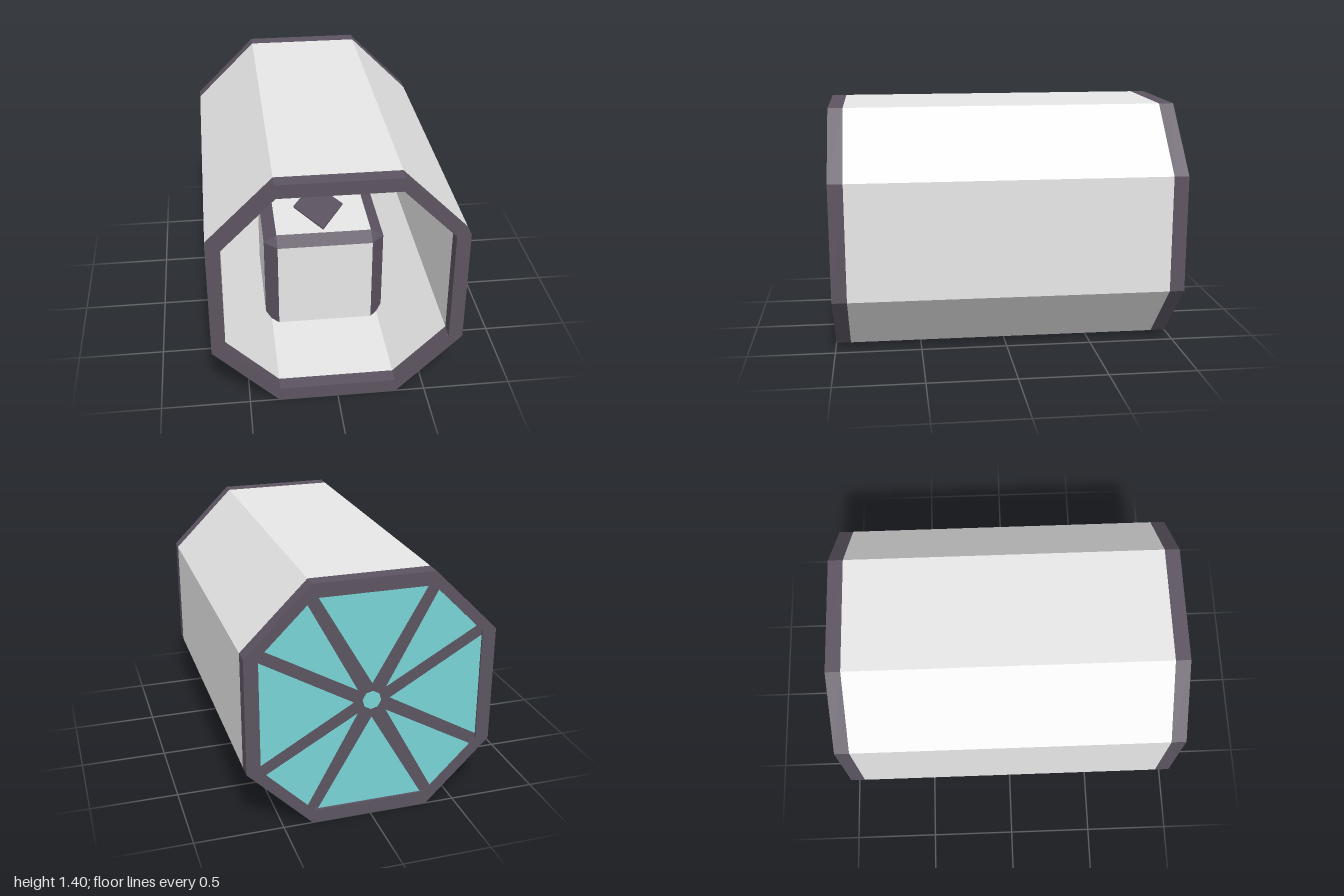
import * as THREE from 'three';

const shellGray = new THREE.MeshStandardMaterial({ color: 0xe7e7e7 });
shellGray.name = 'shellGray';
const frameDark = new THREE.MeshStandardMaterial({ color: 0x5c5461 });
frameDark.name = 'frameDark';
const windowTeal = new THREE.MeshStandardMaterial({ color: 0x79d3d7 });
windowTeal.name = 'windowTeal';

const CY = 0.7; // height of the tube axis

// Counter-clockwise octagon around the axis: half size h, half length of the flat sides f
const octagon = (h, f) => [[h, -f], [h, f], [f, h], [-f, h], [-h, f], [-h, -f], [-f, -h], [f, -h]]
  .map(([x, y]) => new THREE.Vector2(x, y + CY));
const OUTER = octagon(0.7, 0.335);
const INNER = octagon(0.622, 0.328);

function plate(name, outline, holes, z0, z1, material) {
  const shape = new THREE.Shape(outline);
  shape.holes = holes.map((h) => new THREE.Path(h));
  const geo = new THREE.ExtrudeGeometry(shape, { depth: z1 - z0, bevelEnabled: false });
  geo.translate(0, 0, z0);
  const mesh = new THREE.Mesh(geo, material);
  mesh.name = name;
  return mesh;
}

// Flat polygons turned to face away from a centre point
function facets(name, polygons, centre, material) {
  const pos = [];
  for (const poly of polygons) {
    const p = poly.map((c) => new THREE.Vector3(...c));
    const n = p[1].clone().sub(p[0]).cross(p[2].clone().sub(p[0]));
    if (n.dot(p[0].clone().sub(centre)) < 0) p.reverse();
    for (let i = 1; i < p.length - 1; i++) {
      for (const v of [p[0], p[i], p[i + 1]]) pos.push(v.x, v.y, v.z);
    }
  }
  const geo = new THREE.BufferGeometry();
  geo.setAttribute('position', new THREE.Float32BufferAttribute(pos, 3));
  geo.computeVertexNormals();
  const mesh = new THREE.Mesh(geo, material);
  mesh.name = name;
  return mesh;
}

// Octagonal window with spokes running to the corners
function createWindow() {
  const group = new THREE.Group();
  group.name = 'rearWindow';
  const mirror = (pts, sx, sy) => pts.map(([x, y]) => new THREE.Vector2(x * sx, y * sy + CY));
  const upper = [[0, 0.1], [0.3, 0.62], [-0.3, 0.62]];
  const side = [[0.103, 0], [0.622, -0.3], [0.622, 0.3]];
  const diagonal = [[0.08, 0.07], [0.59, 0.36], [0.36, 0.59]];
  const panes = [mirror(upper, 1, 1), mirror(upper, 1, -1), mirror(side, 1, 1), mirror(side, -1, 1)];
  for (const sx of [-1, 1]) for (const sy of [-1, 1]) panes.push(mirror(diagonal, sx, sy));
  panes.push(Array.from({ length: 8 }, (_, i) => {
    const a = (i + 0.15) * Math.PI / 4;
    return new THREE.Vector2(0.053 * Math.cos(a), 0.053 * Math.sin(a) + CY);
  }));
  // dark sheet, with the panes as thin plates standing proud on both sides
  group.add(plate('spokes', INNER, [], -0.9865, -0.9835, frameDark));
  panes.forEach((p) => group.add(plate('windowPane', p, [], -0.9895, -0.9805, windowTeal)));
  return group;
}

// Block sunk into the floor, with dark bevelled edges
function createPedestal() {
  const group = new THREE.Group();
  group.name = 'pedestal';
  const X = 0.362, x = 0.285, Z = 0.39, z = 0.31, Y = 0.665, y = 0.62, b = 0.06;
  const centre = new THREE.Vector3(0, 0.35, 0);
  const panels = [[[-x, Y, -z], [x, Y, -z], [x, Y, z], [-x, Y, z]]];
  const edges = [];
  for (const s of [-1, 1]) {
    panels.push([[-x, b, s * Z], [x, b, s * Z], [x, y, s * Z], [-x, y, s * Z]]);
    panels.push([[s * X, b, -z], [s * X, b, z], [s * X, y, z], [s * X, y, -z]]);
    edges.push([[-x, y, s * Z], [x, y, s * Z], [x, Y, s * z], [-x, Y, s * z]]);
    edges.push([[s * X, y, -z], [s * X, y, z], [s * x, Y, z], [s * x, Y, -z]]);
    for (const t of [-1, 1]) {
      edges.push([[s * x, b, t * Z], [s * X, b, t * z], [s * X, y, t * z], [s * x, y, t * Z]]);
      edges.push([[s * x, y, t * Z], [s * X, y, t * z], [s * x, Y, t * z]]);
    }
  }
  group.add(facets('pedestalPanels', panels, centre, shellGray));
  group.add(facets('pedestalEdges', edges, centre, frameDark));
  // thin diamond inlay on top
  const inlay = plate('topInlay', [[0, -0.28], [0.155, 0], [0, 0.28], [-0.155, 0]]
    .map(([u, v]) => new THREE.Vector2(u, v)), [], 0, 0.009, frameDark);
  inlay.rotation.x = -Math.PI / 2;
  inlay.position.y = Y;
  group.add(inlay);
  return group;
}

export function createModel() {
  const model = new THREE.Group();
  model.name = 'octagonalTube';
  model.add(plate('shell', OUTER, [INNER], -0.915, 0.915, shellGray));
  model.add(plate('frontFrame', OUTER, [INNER], 0.915, 1, frameDark));
  model.add(plate('rearFrame', OUTER, [INNER], -1, -0.915, frameDark));
  model.add(createWindow());
  model.add(createPedestal());
  return model;
}
